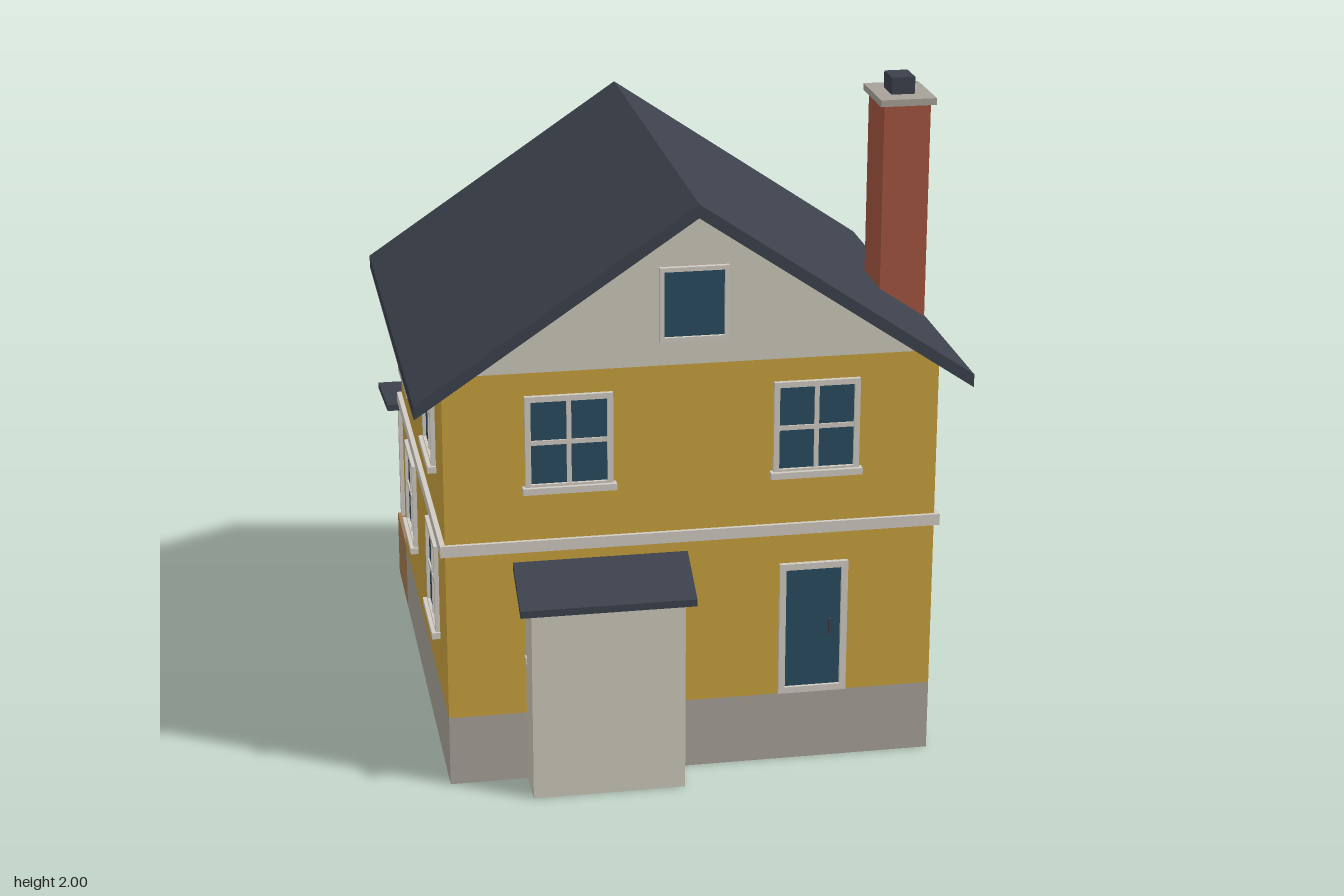
import * as THREE from 'three';

const mat = (name, color, side = THREE.DoubleSide) => {
  const m = new THREE.MeshStandardMaterial({ color, side });
  m.name = name;
  return m;
};

export function createModel() {
  const M = {
    wall: mat('mustard siding', 0xc9a13e),
    gable: mat('cream siding', 0xcdc8bc),
    trim: mat('pale trim', 0xd0cbc2),
    roof: mat('slate roof', 0x3c414c),
    glass: mat('blue glass', 0x2b4b60),
    brick: mat('red brick', 0xa35540),
    stone: mat('grey stone', 0xa8a299),
    wood: mat('porch wood', 0xa47b51),
  };
  const house = new THREE.Group();
  house.name = 'house';

  const add = (parent, name, geo, material, x = 0, y = 0, z = 0) => {
    const mesh = new THREE.Mesh(geo, material);
    mesh.name = name;
    mesh.position.set(x, y, z);
    parent.add(mesh);
    return mesh;
  };
  // Box given by its limits; 'open' lists faces to leave out (2 = top, 3 = bottom)
  const box = (parent, name, material, [x0, x1], [y0, y1], [z0, z1], open = []) => {
    const geo = new THREE.BoxGeometry(x1 - x0, y1 - y0, z1 - z0);
    if (open.length) {
      const src = Array.from(geo.index.array);
      geo.setIndex(src.filter((_, i) => !open.includes(Math.floor(i / 6))));
      geo.clearGroups();
    }
    return add(parent, name, geo, material, (x0 + x1) / 2, (y0 + y1) / 2, (z0 + z1) / 2);
  };
  const shapeOf = (pts) => new THREE.Shape(pts.map(([x, y]) => new THREE.Vector2(x, y)));
  const extrude = (shape, depth) => new THREE.ExtrudeGeometry(shape, { depth, bevelEnabled: false });
  // Rectangular ring, centred, from z = 0 to depth
  const ring = (w, h, t, depth) => {
    const rect = (a, b) => [[-a, -b], [a, -b], [a, b], [-a, b]];
    const s = shapeOf(rect(w / 2, h / 2));
    s.holes.push(shapeOf(rect(w / 2 - t, h / 2 - t).reverse()));
    return extrude(s, depth);
  };
  // Side profile drawn in (z, y), extruded along x
  const slab = (name, material, pts, x0, x1) => {
    const geo = extrude(shapeOf(pts.map(([z, y]) => [-z, y])), x1 - x0);
    geo.rotateY(Math.PI / 2);
    return add(house, name, geo, material, x0);
  };

  const X0 = -0.745, X1 = 0.735, Z0 = -0.572, Z1 = 0.78, CX = -0.005, CZ = (Z0 + Z1) / 2;

  // Hollow walls, open underneath
  box(house, 'foundation', M.stone, [X0, X1], [0, 0.22], [Z0, Z1], [2, 3]);
  box(house, 'walls', M.wall, [X0, X1], [0.22, 1.262], [Z0, Z1], [2, 3]);
  for (const [side, z] of [['front', Z1], ['back', Z0]]) {
    const top = shapeOf([[-0.74, 1.262], [0.74, 1.262], [0.685, 1.3], [-0.685, 1.3]]);
    const tri = shapeOf([[-0.685, 1.3], [0.685, 1.3], [0, 1.765]]);
    const g = new THREE.Group();
    g.name = side + 'Gable';
    g.position.set(CX, 0, z);
    if (side === 'back') g.rotation.y = Math.PI;
    add(g, 'wallTop', new THREE.ShapeGeometry(top), M.wall);
    add(g, 'gableSiding', new THREE.ShapeGeometry(tri), M.gable);
    house.add(g);
  }
  const belt = ring(1.51, 1.376, 0.016, 0.035);
  belt.rotateX(-Math.PI / 2);
  add(house, 'beltCourse', belt, M.trim, CX, 0.745, CZ);

  // Main roof
  const roof = shapeOf([[-0.827, 1.203], [0, 1.762], [0.827, 1.203], [0.827, 1.243], [0, 1.803], [-0.827, 1.243]]);
  add(house, 'mainRoof', extrude(roof, 1.505), M.roof, CX, 0, -0.65);

  // Openings: local +z faces outwards, wall surface at z = 0
  const opening = (name, x, y, z, turn, w, h, t) => {
    const g = new THREE.Group();
    g.name = name;
    g.position.set(x, y, z);
    g.rotation.y = turn;
    house.add(g);
    add(g, 'frame', ring(w, h, t, 0.024), M.trim, 0, 0, -0.01);
    box(g, 'pane', M.glass, [-w / 2 + t, w / 2 - t], [-h / 2 + t, h / 2 - t], [-0.008, 0.004]);
    return g;
  };
  const sashWindow = (x, y, z, turn) => {
    const g = opening('window', x, y, z, turn, 0.26, 0.29, 0.017);
    box(g, 'verticalBar', M.trim, [-0.007, 0.007], [-0.13, 0.13], [0, 0.009]);
    box(g, 'crossBar', M.trim, [-0.115, 0.115], [-0.007, 0.007], [0, 0.009]);
    box(g, 'sill', M.trim, [-0.139, 0.139], [-0.155, -0.135], [-0.005, 0.026]);
  };
  const door = (x, z, turn) => {
    const g = opening('door', x, 0.437, z, turn, 0.21, 0.425, 0.02);
    box(g, 'handle', M.roof, [0.049, 0.058], [-0.025, 0.025], [0.003, 0.016]);
  };
  const Q = Math.PI / 2;
  for (const y of [0.545, 1.085]) {
    for (const z of [0.44, -0.235]) {
      sashWindow(X1, y, z, Q);
      sashWindow(X0, y, z, -Q);
    }
    for (const s of [-1, 1]) {
      sashWindow(CX + s * 0.37, y, Z0, Math.PI);
      if (y > 1 || s < 0) sashWindow(CX + s * 0.37, y, Z1, 0);
    }
  }
  door(0.365, Z1, 0);
  door(CX, Z0, Math.PI);
  opening('atticWindow', CX, 1.487, Z1, 0, 0.205, 0.225, 0.013);
  opening('atticWindow', CX, 1.487, Z0, Math.PI, 0.205, 0.225, 0.013);

  // Chimney
  box(house, 'chimney', M.brick, [0.67, 0.815], [0, 1.93], [0.115, 0.31], [3]);
  box(house, 'chimneyCap', M.stone, [0.656, 0.83], [1.926, 1.947], [0.097, 0.323]);
  box(house, 'chimneyPot', M.roof, [0.705, 0.778], [1.947, 2.0], [0.16, 0.257]);

  // Front lean-to: sloped walls, open underneath
  const lean = box(house, 'leanTo', M.gable, [-0.51, -0.05], [0, 0.61], [Z1, 0.915], [3]);
  const p = lean.geometry.attributes.position;
  for (let i = 0; i < p.count; i++) {
    if (p.getY(i) > 0 && p.getZ(i) < 0) p.setY(i, p.getY(i) + 0.075);
  }
  lean.geometry.computeVertexNormals();
  slab('leanToRoof', M.roof, [[0.76, 0.7], [0.94, 0.6], [0.94, 0.622], [0.76, 0.722]], -0.545, -0.02);

  // Back porch
  const PZ = -0.865;
  box(house, 'porchDeck', M.wood, [X0, X1], [0, 0.223], [-0.88, Z0], [3, 4]);
  box(house, 'porchStep', M.stone, [-0.145, 0.13], [0.085, 0.19], [-0.94, -0.88]);
  slab('porchRoof', M.roof, [[-0.565, 0.72], [-0.565, 0.741], [-0.93, 0.695], [-0.93, 0.674]], -0.795, 0.782);
  const posts = [-0.72, -0.243, 0.233, 0.71];
  for (const x of posts) {
    box(house, 'porchPost', M.trim, [x - 0.015, x + 0.015], [0.223, 0.69], [PZ - 0.015, PZ + 0.015]);
  }
  for (const i of [0, 2]) {
    const a = posts[i], b = posts[i + 1];
    for (const y of [0.255, 0.385]) {
      box(house, 'porchRail', M.trim, [a, b], [y - 0.009, y + 0.009], [PZ - 0.009, PZ + 0.009]);
    }
    for (let k = 1; k <= 5; k++) {
      const x = a + ((b - a) * k) / 6;
      box(house, 'baluster', M.trim, [x - 0.006, x + 0.006], [0.255, 0.385], [PZ - 0.006, PZ + 0.006]);
    }
  }
  return house;
}
